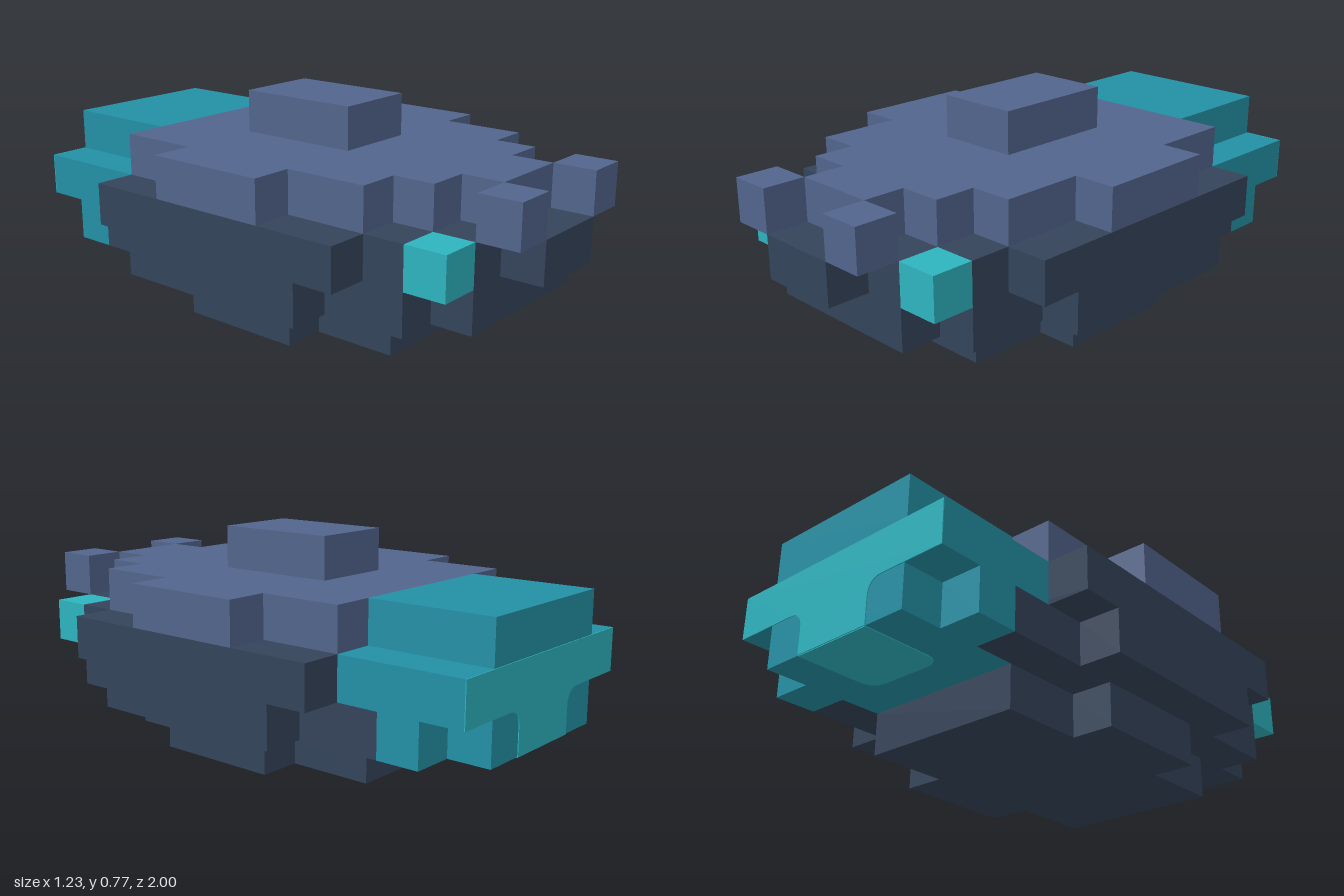
import * as THREE from 'three';

const U = 2 / 13; // edge of one block

export function createModel() {
  const model = new THREE.Group();
  model.name = 'blockCraft';
  const material = (name, color) => {
    const m = new THREE.MeshStandardMaterial({ color });
    m.name = name;
    return m;
  };
  const slate = material('slateBlue', 0x52658c);
  const navy = material('darkNavy', 0x34445a);
  const teal = material('teal', 0x2390a5);
  const bright = material('brightTeal', 0x2db4bf);

  const add = (name, geometry, mat) => {
    geometry.scale(U, U, U);
    const mesh = new THREE.Mesh(geometry, mat);
    mesh.name = name;
    model.add(mesh);
  };

  // One-block-high layer: half outline as [x, z] from front to back, mirrored in x
  const layer = (name, mat, level, half) => {
    const left = half.map(([x, z]) => new THREE.Vector2(x, -z));
    const right = half.map(([x, z]) => new THREE.Vector2(-x, -z)).reverse();
    const g = new THREE.ExtrudeGeometry(new THREE.Shape([...left, ...right]), { depth: 1, bevelEnabled: false });
    add(name, g.rotateX(-Math.PI / 2).translate(0, level, 0), mat);
  };

  // Dark hull, from the keel upwards
  layer('keel', navy, 0, [[2, 3.5], [2, 1.5], [3, 1.5], [3, -1.5], [2, -1.5], [2, -3.5]]);
  layer('lowerHull', navy, 1, [[2, 5.5], [2, 4.5], [3, 4.5], [3, 2.5], [4, 2.5], [4, -2.5],
    [3, -2.5], [3, -4.5], [2, -4.5], [2, -3.5]]);
  layer('upperHull', navy, 2, [[1, 6.5], [1, 5.5], [2, 5.5], [2, 4.5], [3, 4.5], [3, 3.5], [4, 3.5], [4, -3.5]]);

  // Slate deck and raised top
  layer('deck', slate, 3, [[1, 5.5], [1, 4.5], [2, 4.5], [2, 3.5], [3, 3.5], [3, 1.5], [4, 1.5],
    [4, -1.5], [3, -1.5], [3, -3.5]]);
  layer('topBlock', slate, 4, [[1, 1.5], [1, -1.5]]);

  // Teal tail
  layer('tailBase', teal, 1, [[2, -3.5], [2, -4.5], [3, -4.5], [3, -5.5], [2, -5.5], [2, -6.5]]);
  layer('tailMiddle', teal, 2, [[3, -3.5], [3, -6.5]]);
  layer('tailTop', teal, 3, [[2, -3.5], [2, -6.5]]);

  // Paired front blocks
  for (const s of [1, -1]) {
    const side = s > 0 ? 'left' : 'right';
    add(side + 'Horn', new THREE.BoxGeometry(1, 1, 1).translate(1.5 * s, 3.5, 6), slate);
    add(side + 'Eye', new THREE.BoxGeometry(1, 1, 1).translate(2.5 * s, 2.5, 5), bright);
  }

  // Bright panel across the back of the tail, with rounded inner corners
  const t = 0.02, r = 0.4;
  const back = new THREE.Shape();
  back.moveTo(-1, 1);
  back.lineTo(1, 1);
  back.lineTo(1, 2 - r);
  back.quadraticCurveTo(1, 2, 1 + r, 2);
  back.lineTo(3, 2);
  back.lineTo(3, 3);
  back.lineTo(-3, 3);
  back.lineTo(-3, 2);
  back.lineTo(-1 - r, 2);
  back.quadraticCurveTo(-1, 2, -1, 2 - r);
  const plate = { depth: t, bevelEnabled: false, curveSegments: 6 };
  add('backPanel', new THREE.ExtrudeGeometry(back, plate).translate(0, 0, -6.5 - t), bright);

  // Matching panel under the tail
  const under = new THREE.Shape();
  under.moveTo(-1, 6.5);
  under.lineTo(-1, 4.5 + r);
  under.quadraticCurveTo(-1, 4.5, -1 + r, 4.5);
  under.lineTo(1 - r, 4.5);
  under.quadraticCurveTo(1, 4.5, 1, 4.5 + r);
  under.lineTo(1, 6.5);
  add('underPanel', new THREE.ExtrudeGeometry(under, plate).rotateX(-Math.PI / 2).translate(0, 1 - t, 0), bright);

  return model;
}
